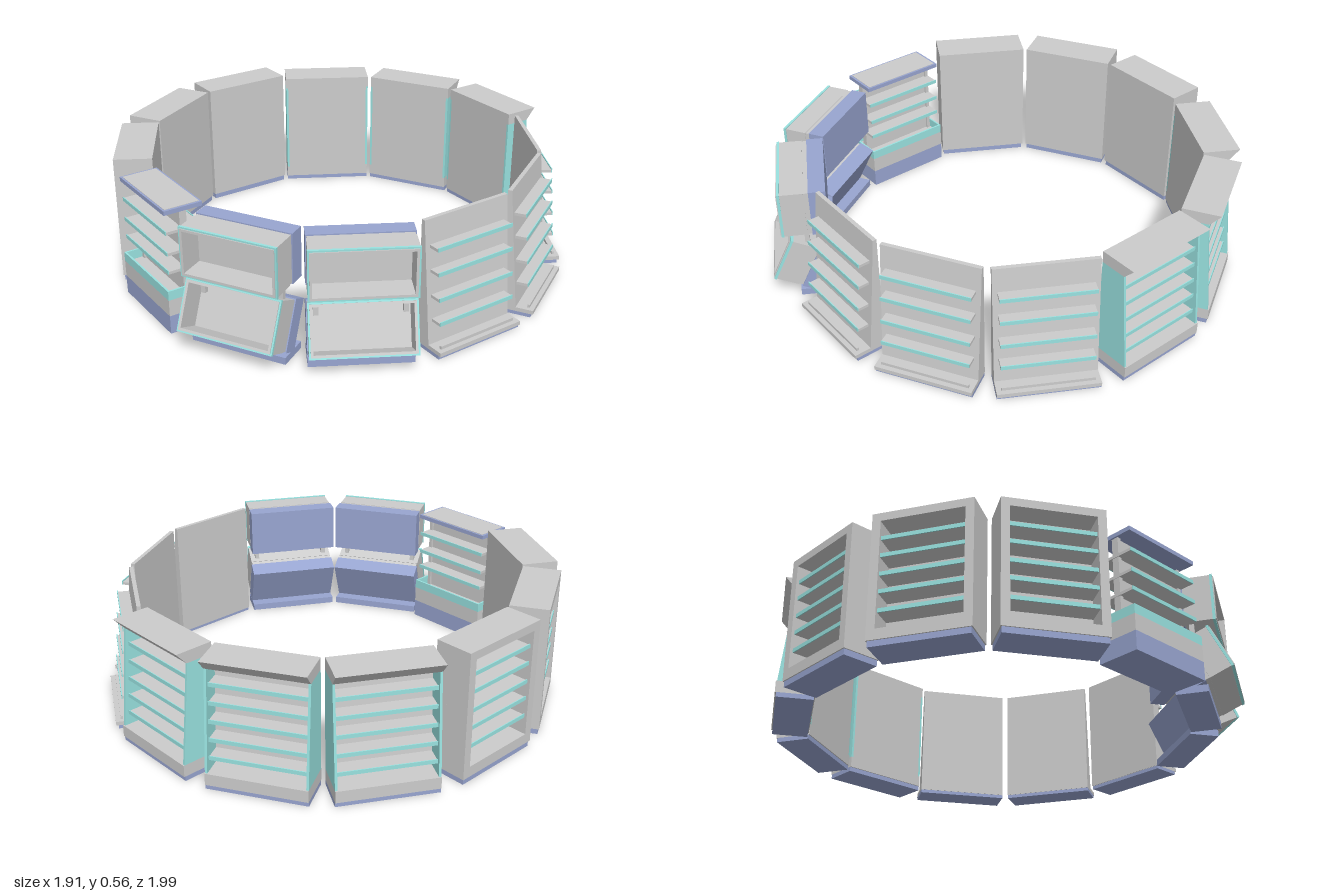
import * as THREE from 'three';

const GREY = new THREE.MeshStandardMaterial({ color: 0xcccccc });
const BLUE = new THREE.MeshStandardMaterial({ color: 0x98a5d0 });
const TEAL = new THREE.MeshStandardMaterial({ color: 0x99e2e0 });
const W = 0.41; // width of one display unit

// Each unit is built in a local frame: x along its width, z = distance from the ring centre.
function box(parent, name, mat, x0, x1, y0, y1, z0, z1) {
  const m = new THREE.Mesh(new THREE.BoxGeometry(x1 - x0, y1 - y0, z1 - z0), mat);
  m.position.set((x0 + x1) / 2, (y0 + y1) / 2, (z0 + z1) / 2);
  m.name = name;
  parent.add(m);
  return m;
}

// Full-width box, centred on x
const slab = (parent, name, mat, w, y0, y1, z0, z1) =>
  box(parent, name, mat, -w / 2, w / 2, y0, y1, z0, z1);

// Side profile of [z, y] points extruded across x
function profile(parent, name, mat, points, width, x = 0) {
  const shape = new THREE.Shape(points.map(([z, y]) => new THREE.Vector2(z, y)));
  const geo = new THREE.ExtrudeGeometry(shape, { depth: width, bevelEnabled: false });
  geo.rotateY(-Math.PI / 2);
  geo.translate(x + width / 2, 0, 0);
  const m = new THREE.Mesh(geo, mat);
  m.name = name;
  parent.add(m);
  return m;
}

// Rectangular frame facing +z
function frame(parent, name, mat, w, y0, y1, z0, z1, side, low = side, high = side) {
  slab(parent, name + 'Bottom', mat, w, y0, y0 + low, z0, z1);
  slab(parent, name + 'Top', mat, w, y1 - high, y1, z0, z1);
  for (const s of [-1, 1]) {
    const a = s * w / 2, b = s * (w / 2 - side);
    box(parent, name + 'Side', mat, Math.min(a, b), Math.max(a, b), y0 + low, y1 - high, z0, z1);
  }
}

// Shelf with a teal front lip
function shelf(parent, w, y, z0, z1) {
  slab(parent, 'shelf', GREY, w, y - 0.008, y + 0.004, z0, z1 - 0.004);
  slab(parent, 'shelfLip', TEAL, w, y - 0.008, y + 0.009, z1 - 0.004, z1);
}

// Wedge-backed rack with four open shelves
function openRack() {
  const g = new THREE.Group();
  slab(g, 'plinth', BLUE, W, 0, 0.015, 0.82, 0.945);
  slab(g, 'baseDeck', GREY, W, 0.015, 0.032, 0.82, 0.955);
  slab(g, 'baseLip', GREY, 0.37, 0.032, 0.045, 0.925, 0.935);
  profile(g, 'wedgeBack', GREY, [[0.815, 0.015], [0.882, 0.03], [0.832, 0.545], [0.815, 0.545]], W);
  [0.135, 0.235, 0.34, 0.44].forEach((y) => {
    const face = 0.884 - y * 0.097;
    shelf(g, 0.37, y, face - 0.005, face + 0.052);
  });
  return g;
}

// Hooded bay with teal side panels and sloping shelf fronts
function hoodedBay() {
  const g = new THREE.Group();
  slab(g, 'plinth', BLUE, W, 0, 0.02, 0.8, 0.95);
  slab(g, 'base', GREY, W, 0.02, 0.07, 0.795, 0.955);
  profile(g, 'back', GREY, [[0.795, 0.07], [0.86, 0.07], [0.825, 0.5], [0.795, 0.5]], W - 0.02);
  profile(g, 'hood', GREY, [[0.795, 0.495], [0.91, 0.495], [0.955, 0.545], [0.795, 0.545]], W);
  for (const s of [-1, 1])
    profile(g, 'sidePanel', TEAL, [[0.795, 0.07], [0.95, 0.07], [0.908, 0.495], [0.795, 0.495]], 0.01, s * (W / 2 - 0.005));
  [0.125, 0.2, 0.275, 0.35, 0.425].forEach((y) => shelf(g, W - 0.02, y, 0.82, 0.94 - y * 0.09));
  return g;
}

// Tall framed cabinet with a recessed set of shelves
function cabinet() {
  const g = new THREE.Group();
  slab(g, 'plinth', BLUE, W - 0.01, 0, 0.025, 0.8, 0.95);
  slab(g, 'back', GREY, W, 0.025, 0.565, 0.795, 0.855);
  frame(g, 'cabinetFrame', GREY, W, 0.025, 0.565, 0.855, 0.955, 0.035, 0.045, 0.035);
  [0.15, 0.23, 0.305, 0.385, 0.46].forEach((y) => shelf(g, W - 0.07, y, 0.85, 0.943));
  return g;
}

// Two-sided island: central panel, shelves on both faces, tray and plinth
function island() {
  const g = new THREE.Group();
  const mid = 0.868, w = 0.4;
  slab(g, 'plinth', BLUE, w, 0, 0.08, 0.778, 0.958);
  slab(g, 'base', GREY, w, 0.08, 0.15, 0.778, 0.958);
  for (const s of [-1, 1]) {
    const z = mid + s * 0.086;
    slab(g, 'trayLip', TEAL, w, 0.15, 0.19, z - 0.004, z + 0.004);
    box(g, 'trayEnd', TEAL, s * 0.196 - 0.004, s * 0.196 + 0.004, 0.15, 0.19, 0.782, 0.954);
    box(g, 'post', GREY, s * 0.18 - 0.008, s * 0.18 + 0.008, 0.15, 0.52, mid - 0.015, mid + 0.015);
  }
  slab(g, 'centrePanel', GREY, 0.37, 0.15, 0.52, mid - 0.005, mid + 0.005);
  [0.265, 0.345, 0.435].forEach((y) => {
    slab(g, 'shelf', GREY, 0.38, y - 0.007, y + 0.005, mid - 0.075, mid + 0.075);
    for (const s of [-1, 1])
      slab(g, 'shelfLip', TEAL, 0.38, y - 0.007, y + 0.009, mid + s * 0.077 - 0.002, mid + s * 0.077 + 0.002);
  });
  slab(g, 'topEdge', BLUE, 0.39, 0.515, 0.533, mid - 0.082, mid + 0.082);
  slab(g, 'topPlate', GREY, 0.37, 0.533, 0.535, mid - 0.074, mid + 0.074);
  return g;
}

// Open-fronted display case, centred on its own origin
function displayCase() {
  const g = new THREE.Group();
  slab(g, 'caseBack', BLUE, W, -0.105, 0.105, -0.1, -0.03);
  slab(g, 'caseInnerBack', GREY, W - 0.01, -0.1, 0.1, -0.03, -0.01);
  frame(g, 'caseWall', GREY, W - 0.005, -0.102, 0.102, -0.01, 0.085, 0.014);
  frame(g, 'caseRim', TEAL, W, -0.105, 0.105, 0.085, 0.096, 0.007);
  frame(g, 'caseRimInner', GREY, W - 0.014, -0.098, 0.098, 0.085, 0.1, 0.01);
  return g;
}

// Upright case above a tilted case on a low plinth
function stackedCases() {
  const g = new THREE.Group();
  slab(g, 'plinth', BLUE, W, 0, 0.03, 0.8, 0.93);
  const upper = displayCase();
  upper.name = 'upperCase';
  upper.position.set(0, 0.417, 0.885);
  const lower = displayCase();
  lower.name = 'lowerCase';
  lower.position.set(0, 0.155, 0.905);
  lower.rotation.x = -0.44;
  g.add(upper, lower);
  for (const s of [-1, 1])
    box(g, 'caseSupport', GREY, s * 0.17 - 0.01, s * 0.17 + 0.01, 0.2, 0.32, 0.87, 0.89);
  return g;
}

export function createModel() {
  const model = new THREE.Group();
  model.name = 'displayRing';
  // Units around the ring, in 30 degree steps from the front towards +x
  const ring = [
    ['stackedCases', stackedCases, [0, 30]],
    ['openRack', openRack, [60, 90, 120]],
    ['hoodedBay', hoodedBay, [150, 180, 210]],
    ['cabinet', cabinet, [240, 270, 300]],
    ['islandShelf', island, [330]],
  ];
  for (const [name, build, angles] of ring) {
    for (const deg of angles) {
      const unit = build();
      unit.name = name;
      unit.rotation.y = THREE.MathUtils.degToRad(deg);
      unit.position.z = -0.045;
      model.add(unit);
    }
  }
  return model;
}
